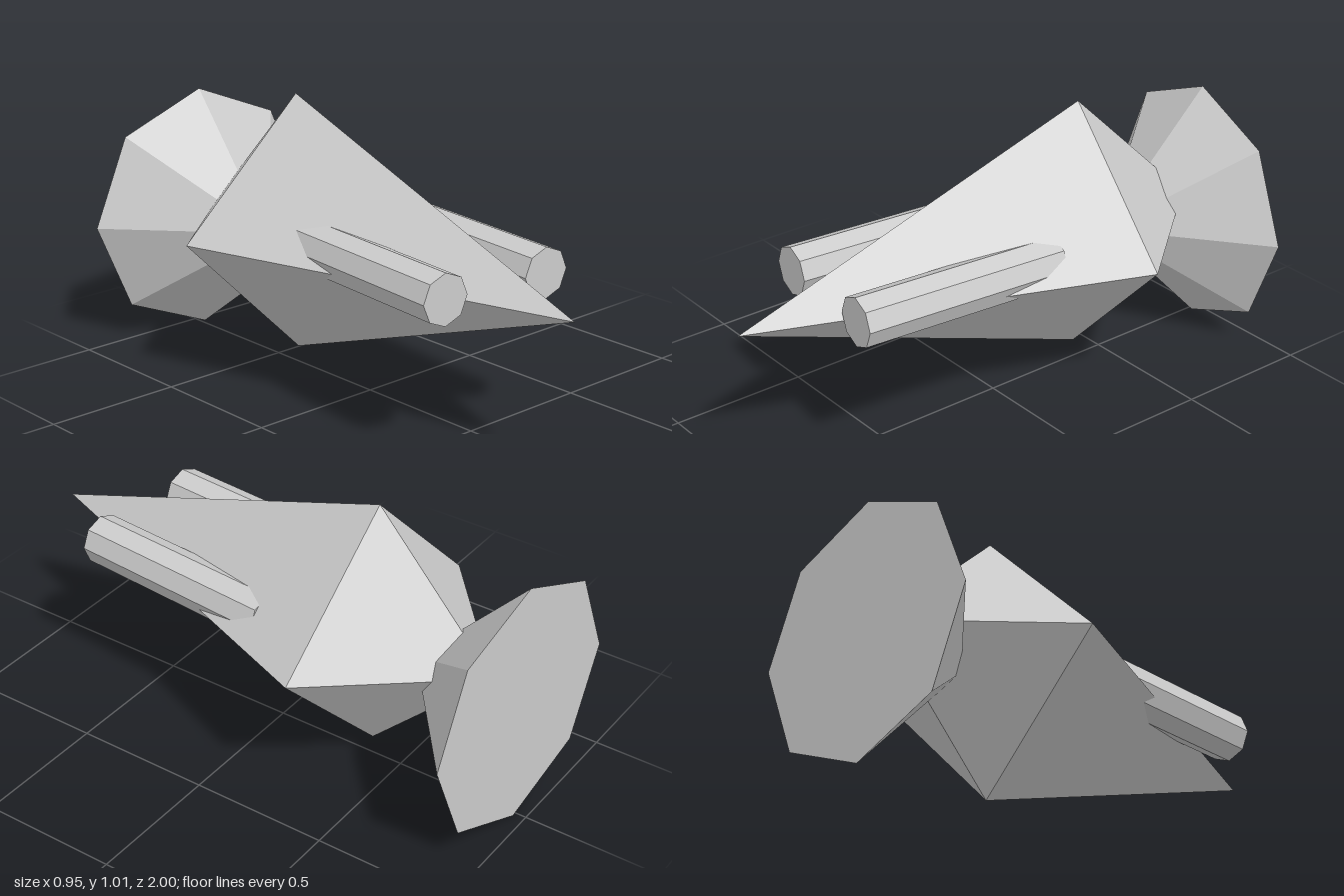
import * as THREE from 'three';

const YAW = -0.085; // slight turn shared by the barrels and the tail cone
const material = new THREE.MeshStandardMaterial({ color: 0xcccccc, flatShading: true });

// Stretched octahedron: nose and rear points joined to a four-cornered ring
function bodyGeometry() {
  const nose = [-0.06, 0.54, 1.0];
  const rear = [0.04, 0.54, -0.86];
  const ring = [
    [0.468, 0.54, -0.34],
    [-0.005, 1.01, -0.38],
    [-0.475, 0.54, -0.42],
    [-0.005, 0.062, -0.38],
  ];
  const points = [];
  ring.forEach((corner, i) => {
    const next = ring[(i + 1) % ring.length];
    points.push(...nose, ...corner, ...next);
    points.push(...rear, ...next, ...corner);
  });
  const geometry = new THREE.BufferGeometry();
  geometry.setAttribute('position', new THREE.Float32BufferAttribute(points, 3));
  geometry.computeVertexNormals();
  return geometry;
}

// Eight-sided solid along z, with z = 0 at its origin end
function octagonal(frontRadius, backRadius, length, offset) {
  return new THREE.CylinderGeometry(frontRadius, backRadius, length, 8)
    .rotateX(Math.PI / 2)
    .translate(0, 0, offset);
}

export function createModel() {
  const group = new THREE.Group();

  const add = (name, geometry, x = 0, y = 0, z = 0, yaw = 0) => {
    const mesh = new THREE.Mesh(geometry, material);
    mesh.name = name;
    mesh.position.set(x, y, z);
    mesh.rotation.y = yaw;
    group.add(mesh);
  };

  add('body', bodyGeometry());

  // Pair of barrels sunk into the upper faces, placed by their front ends
  const barrel = octagonal(0.09, 0.09, 0.775, -0.3875);
  add('rightBarrel', barrel, -0.275, 0.573, 0.648, YAW);
  add('leftBarrel', barrel, 0.15, 0.573, 0.684, YAW);

  // Tail cone opening backwards, its tip buried in the body
  const tailLength = 0.43;
  const tail = new THREE.ConeGeometry(0.46, tailLength, 8)
    .rotateX(Math.PI / 2)
    .translate(0, 0, tailLength / 2);
  add('tailCone', tail, 0.017, 0.46, -0.96, YAW);

  return group;
}
